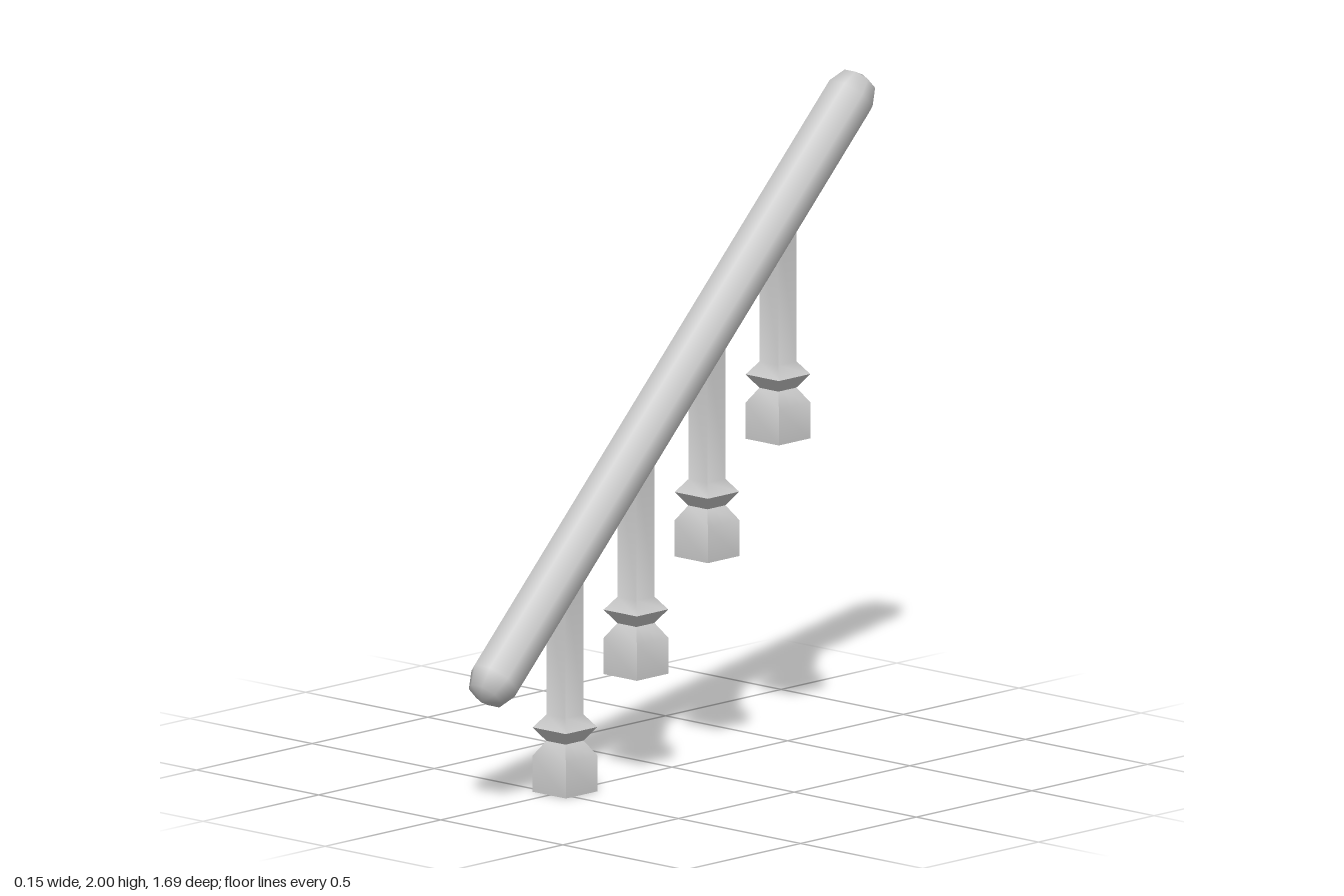
import * as THREE from 'three';
import { toCreasedNormals } from 'three/addons/utils/BufferGeometryUtils.js';

// Square post turned from [half width, height] points
function balusterGeometry(height) {
  const profile = [
    [0, 0], [0.068, 0], [0.068, 0.11], [0.039, 0.155],
    [0.068, 0.196], [0.039, 0.235], [0.039, height], [0, height],
  ].map(([w, y]) => new THREE.Vector2(w * Math.SQRT2, y));
  const geometry = new THREE.LatheGeometry(profile, 4);
  geometry.rotateY(Math.PI / 4);
  return toCreasedNormals(geometry, 1.0);
}

export function createModel() {
  const model = new THREE.Group();
  model.name = 'stairRailing';

  const stone = new THREE.MeshStandardMaterial({ color: 0xcccccc });
  stone.name = 'light grey';

  // Eight-sided handrail with rounded ends, rising towards the back at 45 degrees
  const railGeometry = new THREE.CapsuleGeometry(0.081, 2.168, 2, 8);
  railGeometry.rotateY(Math.PI / 8);
  const rail = new THREE.Mesh(railGeometry, stone);
  rail.name = 'handrail';
  rail.position.y = 1.153;
  rail.rotation.x = -Math.PI / 4;
  model.add(rail);

  // Four balusters, each one step higher, with tops hidden inside the rail
  const geometry = balusterGeometry(0.67);
  for (let i = 0; i < 4; i++) {
    const baluster = new THREE.Mesh(geometry, stone);
    baluster.name = `baluster${i + 1}`;
    baluster.position.set(0, i * 0.309, 0.463 - i * 0.307);
    model.add(baluster);
  }

  return model;
}
